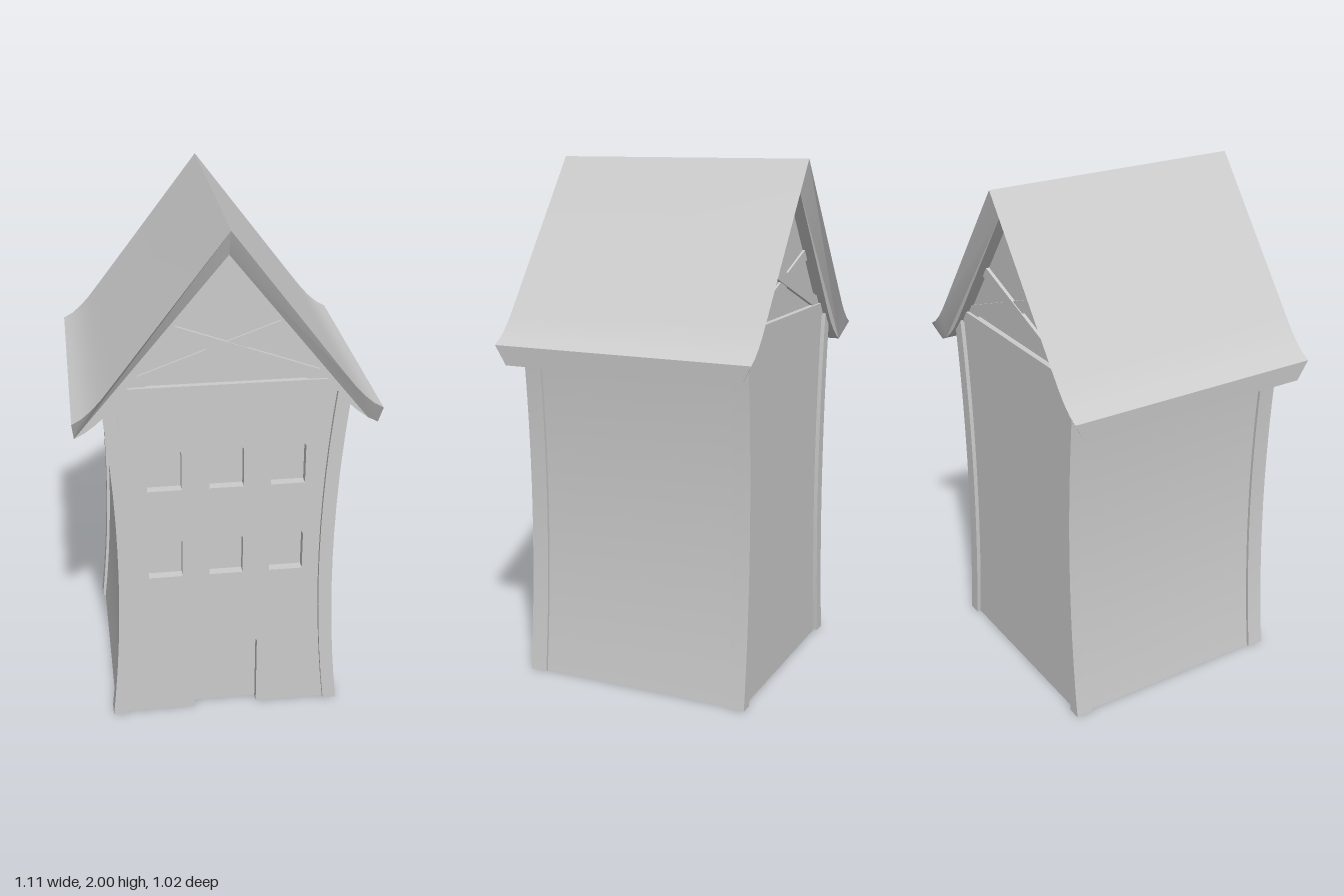
import * as THREE from 'three';
import { toCreasedNormals } from 'three/addons/utils/BufferGeometryUtils.js';

const material = new THREE.MeshStandardMaterial({ color: 0xcccccc });

// Half width of the waisted tower at height y
const halfWidth = (y) => 0.41 + 0.04 * ((y - 0.68) / 0.68) ** 2;

// Points up the curved wall line, pulled in by inset
function wallLine(inset, top, steps = 12) {
  return Array.from({ length: steps + 1 }, (_, i) => {
    const y = (top * i) / steps;
    return new THREE.Vector2(halfWidth(y) - inset, y);
  });
}

const mirrorX = (points) => points.map((p) => new THREE.Vector2(-p.x, p.y)).reverse();
const toPoints = (pairs) => pairs.map(([x, y]) => new THREE.Vector2(x, y));

// Outline of an arched opening, from bottom right round to bottom left
function archPoints(cx, bottom, half, spring, top) {
  const rise = top - spring;
  const radius = (half * half + rise * rise) / (2 * rise);
  const spread = Math.asin(half / radius);
  const points = [new THREE.Vector2(cx + half, bottom)];
  for (let i = 0; i <= 10; i++) {
    const a = spread - (2 * spread * i) / 10;
    points.push(new THREE.Vector2(cx + radius * Math.sin(a), top - radius + radius * Math.cos(a)));
  }
  points.push(new THREE.Vector2(cx - half, bottom));
  return points;
}

// Flat outline extruded between two depths
function slab(name, points, z0, z1, holes = []) {
  const shape = new THREE.Shape(points);
  shape.holes = holes.map((h) => new THREE.Path(h));
  const geometry = new THREE.ExtrudeGeometry(shape, { depth: z1 - z0, bevelEnabled: false });
  geometry.translate(0, 0, z0);
  const mesh = new THREE.Mesh(toCreasedNormals(geometry, 0.5), material);
  mesh.name = name;
  return mesh;
}

function createRoof() {
  const outer = toPoints([[0.555, 1.325], [0.52, 1.345], [0.485, 1.375], [0.45, 1.413], [0.4, 1.477]]);
  const inner = toPoints([[0.39, 1.387], [0.435, 1.333], [0.47, 1.3], [0.51, 1.27], [0.548, 1.25]]);
  const underside = [...mirrorX(inner), new THREE.Vector2(0, 1.905), ...inner];
  const outline = [...underside, ...outer, new THREE.Vector2(0, 2), ...mirrorX(outer)];
  const geometry = new THREE.ExtrudeGeometry(new THREE.Shape(outline), { depth: 1.02, bevelEnabled: false });
  geometry.translate(0, 0, -0.51);
  // Draw the underside in so the gable edges slope back
  const pos = geometry.attributes.position;
  for (let i = 0; i < pos.count; i++) {
    const isUnder = underside.some((p) => Math.hypot(p.x - pos.getX(i), p.y - pos.getY(i)) < 1e-4);
    if (isUnder) pos.setZ(i, pos.getZ(i) * (0.47 / 0.51));
  }
  geometry.computeVertexNormals();
  const mesh = new THREE.Mesh(toCreasedNormals(geometry, 0.5), material);
  mesh.name = 'roof';
  return mesh;
}

export function createModel() {
  const model = new THREE.Group();
  model.name = 'house';

  // Solid core with waisted side walls
  const side = wallLine(0.012, 1.33);
  const sideTop = new THREE.Vector2(0.39, 1.385);
  model.add(slab('core', [...side, sideTop, ...mirrorX([...side, sideTop])], -0.405, 0.405));

  // Front wall with door notch and two rows of arched windows
  const panel = wallLine(0.03, 1.37);
  const windows = [];
  for (const bottom of [0.625, 1.0])
    for (const x of [-0.23, 0, 0.23])
      windows.push(archPoints(x, bottom, 0.064, bottom + 0.155, bottom + 0.19));
  const door = archPoints(0, 0, 0.125, 0.3, 0.36).reverse();
  model.add(slab('frontWall', [...panel, ...mirrorX(panel), ...door], 0.4, 0.441, windows));
  model.add(slab('backWall', [...panel, ...mirrorX(panel)], -0.441, -0.4));

  // Gable walls below the roof
  model.add(slab('gable', toPoints([[-0.4, 1.365], [0.4, 1.365], [0.4, 1.376], [0, 1.91], [-0.4, 1.376]]), -0.425, 0.425));

  // Corner posts
  const postOuter = wallLine(0, 1.33);
  const postInner = wallLine(0.052, 1.385).reverse();
  const post = [...postOuter, ...postInner];
  for (const points of [post, mirrorX(post)]) {
    model.add(slab('cornerPost', points, 0.39, 0.457));
    model.add(slab('cornerPost', points, -0.457, -0.39));
  }

  // Gable timbers: tie beam and two crossing braces on each end
  const tie = toPoints([[-0.4, 1.37], [0.4, 1.37], [0.365, 1.42], [-0.365, 1.42]]);
  const brace = toPoints([[-0.226, 1.609], [0.391, 1.385], [0.341, 1.453], [-0.195, 1.648]]);
  for (const turn of [0, Math.PI]) {
    const timbers = new THREE.Group();
    timbers.name = 'gableTimbers';
    timbers.add(slab('tieBeam', tie, 0.42, 0.447));
    timbers.add(slab('brace', brace, 0.42, 0.438));
    timbers.add(slab('brace', mirrorX(brace), 0.42, 0.434));
    timbers.rotation.y = turn;
    model.add(timbers);
  }

  model.add(createRoof());
  return model;
}
